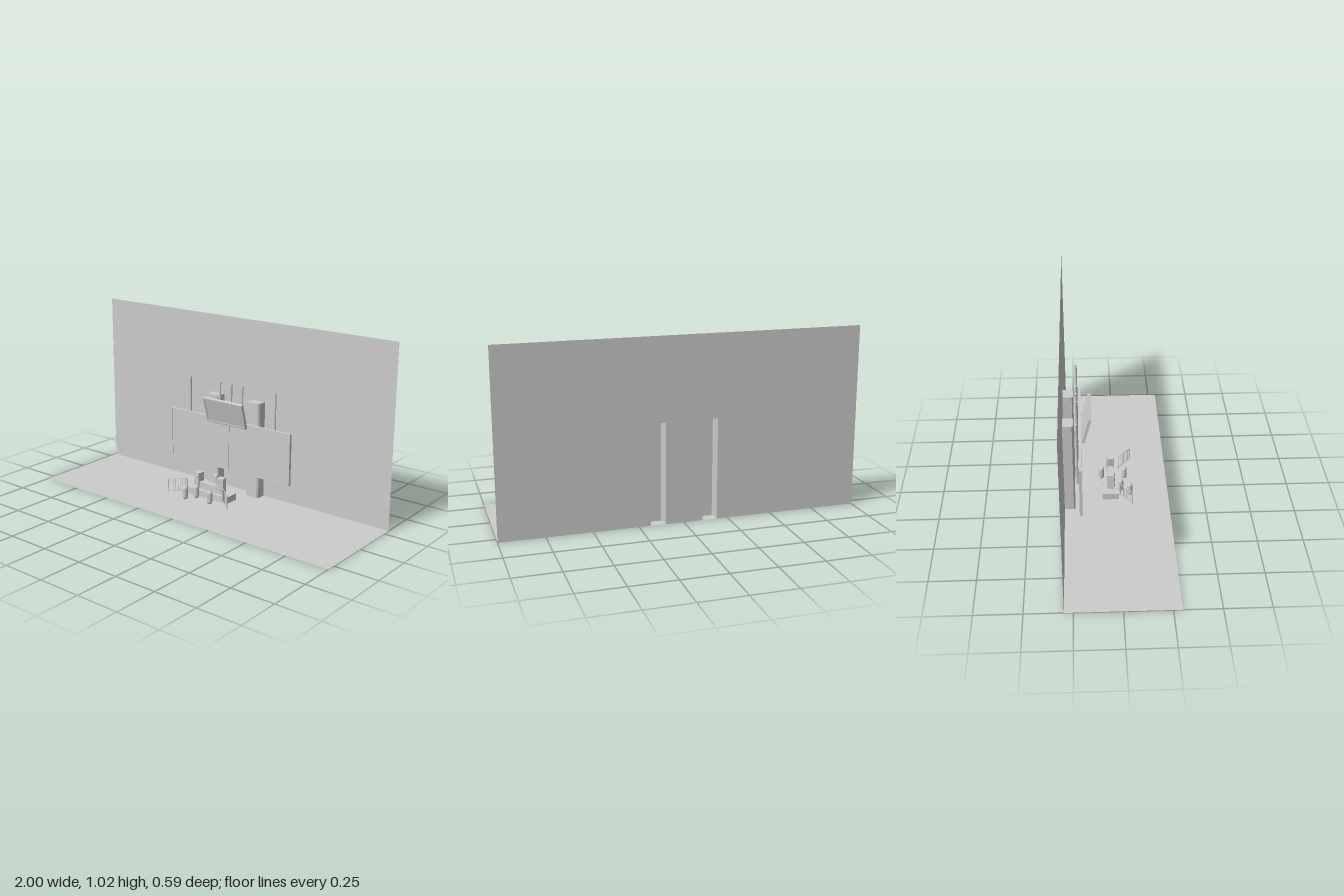
import * as THREE from 'three';

const grey = new THREE.MeshStandardMaterial({ color: 0xcccccc });
const thin = new THREE.MeshStandardMaterial({ color: 0xcccccc, side: THREE.DoubleSide });
const flat = new THREE.MeshStandardMaterial({ color: 0xcccccc, side: THREE.DoubleSide, flatShading: true });

function add(parent, name, geometry, x = 0, y = 0, z = 0, material = grey) {
  const mesh = new THREE.Mesh(geometry, material);
  mesh.name = name;
  mesh.position.set(x, y, z);
  parent.add(mesh);
  return mesh;
}

function group(parent, name, x = 0, y = 0, z = 0) {
  const g = new THREE.Group();
  g.name = name;
  g.position.set(x, y, z);
  parent.add(g);
  return g;
}

const box = (w, h, d) => new THREE.BoxGeometry(w, h, d);

// Panel with a raised rim around a recessed face
function framedPanel(parent, name, w, h, d, rim, x, y, z) {
  const g = group(parent, name, x, y, z);
  const recess = d * 0.25;
  add(g, 'screen', box(w - rim * 2, h - rim * 2, d - recess), 0, 0, -recess / 2);
  const outline = new THREE.Shape([[-1, -1], [1, -1], [1, 1], [-1, 1]]
    .map(([a, b]) => new THREE.Vector2(a * w / 2, b * h / 2)));
  outline.holes.push(new THREE.Path([[-1, -1], [-1, 1], [1, 1], [1, -1]]
    .map(([a, b]) => new THREE.Vector2(a * (w / 2 - rim), b * (h / 2 - rim)))));
  add(g, 'frame', new THREE.ExtrudeGeometry(outline, { depth: d, bevelEnabled: false }), 0, 0, -d / 2);
  return g;
}

const WALL_Z = -0.297, WALL_H = 1.025;
const PILLARS = [-0.147, 0.143], PILLAR_W = 0.082, PILLAR_H = 0.565, PILLAR_D = 0.06;

// Back wall, notched where the hollow pillars stand
function buildWall(parent) {
  const s = new THREE.Shape();
  s.moveTo(-1, 0);
  for (const x of PILLARS) {
    s.lineTo(x - PILLAR_W / 2, 0);
    s.lineTo(x - PILLAR_W / 2, PILLAR_H);
    s.lineTo(x + PILLAR_W / 2, PILLAR_H);
    s.lineTo(x + PILLAR_W / 2, 0);
  }
  s.lineTo(1, 0);
  s.lineTo(1, WALL_H);
  s.lineTo(-1, WALL_H);
  add(parent, 'backWall', new THREE.ShapeGeometry(s), 0, 0, WALL_Z, thin);
  const floor = add(parent, 'floor', new THREE.PlaneGeometry(2, -WALL_Z * 2), 0, 0, 0, thin);
  floor.rotation.x = -Math.PI / 2;
}

// Pillar open at the back: a folded strip with chamfered corners and a cap
function buildPillar(parent, x) {
  const g = group(parent, 'pillar', x, 0, WALL_Z);
  const w = PILLAR_W / 2, d = PILLAR_D, c = 0.008;
  const profile = [[-w, 0], [-w, d - c], [-w + c, d], [w - c, d], [w, d - c], [w, 0]];
  const sides = new THREE.PlaneGeometry(1, PILLAR_H, profile.length - 1, 1);
  const p = sides.attributes.position;
  for (let i = 0; i < p.count; i++) {
    const [px, pz] = profile[i % profile.length];
    p.setX(i, px);
    p.setZ(i, pz);
  }
  add(g, 'pillarSides', sides, 0, PILLAR_H / 2, 0, flat);
  const cap = new THREE.ShapeGeometry(new THREE.Shape(profile.map(([a, b]) => new THREE.Vector2(a, -b))));
  add(g, 'pillarCap', cap, 0, PILLAR_H, 0, thin).rotation.x = -Math.PI / 2;
}

// Loudspeaker with a large and a small cone
function buildSpeaker(parent, side) {
  const g = group(parent, 'speaker', side * 0.081, 0.071, -0.032);
  g.rotation.y = side * 0.2;
  add(g, 'cabinet', box(0.04, 0.091, 0.039), 0, 0.0455, 0);
  for (const [y, r] of [[0.028, 0.014], [0.069, 0.01]]) {
    add(g, 'coneRing', new THREE.TorusGeometry(r, 0.002, 6, 20), 0, y, 0.0195);
    add(g, 'coneCap', new THREE.SphereGeometry(r * 0.4, 12, 8), 0, y, 0.0185);
  }
}

// Crowd barrier: rounded tube frame, lower rail and upright bars
function buildBarrier(parent, side) {
  const g = group(parent, 'barrier', side * 0.17, 0, 0.051);
  g.rotation.y = -side * Math.atan2(0.069, 0.086);
  const w = 0.054, top = 0.125, low = 0.042, c = 0.012, r = 0.0024;
  const path = new THREE.CurvePath();
  const v = (x, y) => new THREE.Vector3(x, y, 0);
  path.add(new THREE.LineCurve3(v(-w, low), v(-w, top - c)));
  path.add(new THREE.QuadraticBezierCurve3(v(-w, top - c), v(-w, top), v(-w + c, top)));
  path.add(new THREE.LineCurve3(v(-w + c, top), v(w - c, top)));
  path.add(new THREE.QuadraticBezierCurve3(v(w - c, top), v(w, top), v(w, top - c)));
  path.add(new THREE.LineCurve3(v(w, top - c), v(w, low)));
  add(g, 'barrierFrame', new THREE.TubeGeometry(path, 60, r, 8), 0, 0, 0, thin);
  const rail = add(g, 'lowerRail', new THREE.CylinderGeometry(r, r, w * 2, 8), 0, low + 0.01, 0);
  rail.rotation.z = Math.PI / 2;
  for (let i = 1; i < 8; i++) {
    const h = top - low - 0.01;
    add(g, 'barrierBar', new THREE.CylinderGeometry(0.0014, 0.0014, h, 6),
      -w + (i * w) / 4, low + 0.01 + h / 2, 0);
  }
}

export function createModel() {
  const model = new THREE.Group();
  model.name = 'stageSet';

  buildWall(model);
  for (const x of PILLARS) buildPillar(model, x);

  // Pair of wide screens with their hanging rods
  for (const side of [-1, 1]) {
    framedPanel(model, 'wideScreen', 0.427, 0.3, 0.016, 0.006, side * 0.2135, 0.296, -0.203);
  }
  for (const x of [-0.3, -0.08, 0, 0.078, 0.306]) {
    add(model, 'hangingRod', new THREE.CylinderGeometry(0.007, 0.007, 0.383, 16), x, 0.4625, -0.221);
  }

  // Smaller screen tilted down toward the floor
  const tilted = framedPanel(model, 'tiltedScreen', 0.277, 0.154, 0.018, 0.01, -0.002, 0.496, -0.166);
  tilted.rotation.x = 0.27;

  // Table with equipment
  add(model, 'table', box(0.298, 0.038, 0.091), 0, 0.052, -0.0355);
  add(model, 'console', box(0.122, 0.04, 0.036), 0, 0.091, -0.03);

  for (const side of [-1, 1]) {
    buildSpeaker(model, side);
    buildBarrier(model, side);
  }

  // Capsule figures: one behind the table, three in front
  const figures = [[0, 0.114, -0.085], [-0.056, 0.064, 0.024], [0.061, 0.064, 0.049], [-0.096, 0.064, 0.075]];
  for (const [x, y, z] of figures) {
    add(model, 'figure', new THREE.CapsuleGeometry(0.0155, 0.048, 8, 20), x, y, z);
  }
  return model;
}
